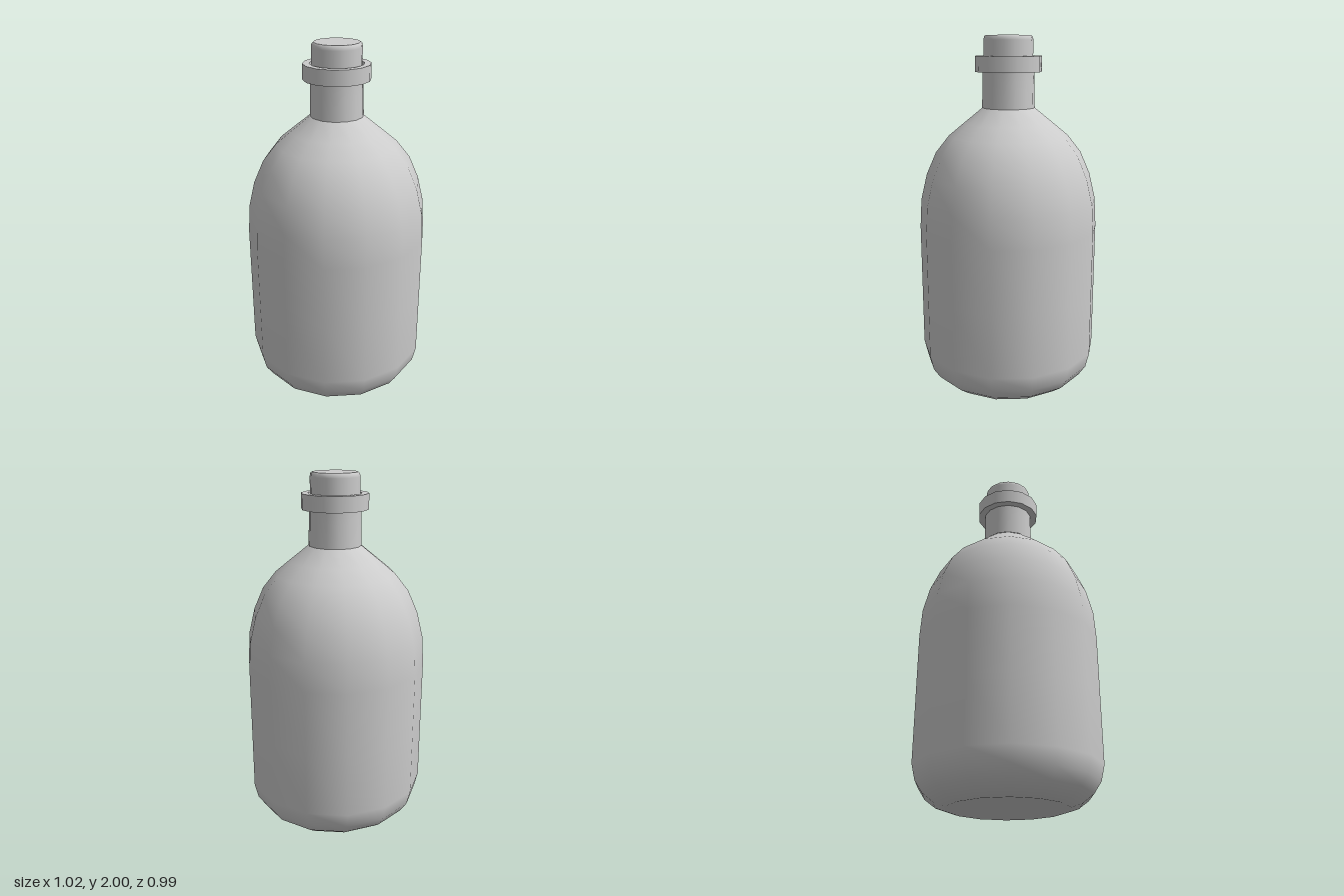
import * as THREE from 'three';
import { mergeGeometries } from 'three/addons/utils/BufferGeometryUtils.js';

const SIDES = 14;

// Smooth surface of revolution with a corner on the x axis
const turn = (profile) => new THREE.LatheGeometry(
  profile.map(([r, y]) => new THREE.Vector2(r, y)), SIDES, Math.PI / 2);

// Same, but with a sharp edge at every profile point
const turnSharp = (profile) => mergeGeometries(
  profile.slice(1).map((p, i) => turn([profile[i], p])));

export function createModel() {
  const group = new THREE.Group();
  group.name = 'bottle';
  const material = new THREE.MeshStandardMaterial({ color: 0xcccccc, side: THREE.DoubleSide });
  const add = (name, geometry) => {
    const mesh = new THREE.Mesh(geometry, material);
    mesh.name = name;
    group.add(mesh);
  };

  // Flat base, rounded heel, straight wall and domed shoulder
  add('body', turn([
    [0, 0.005], [0.29, 0.005], [0.33, 0], [0.39, 0.02], [0.45, 0.065], [0.49, 0.125], [0.51, 0.21],
    [0.51, 0.57], [0.51, 0.93], [0.5, 1.09], [0.465, 1.235], [0.41, 1.36],
    [0.335, 1.455], [0.25, 1.525], [0.145, 1.61],
  ]));

  // Slightly tapered neck
  add('neck', turn([[0.147, 1.61], [0.143, 1.74], [0.143, 1.81]]));

  // Collar with an open mouth that closes in on the stopper
  add('lip', turnSharp([
    [0.143, 1.805], [0.184, 1.805], [0.184, 1.89], [0.147, 1.89], [0.143, 1.8], [0.132, 1.78],
  ]));

  // Stopper with a small bevel around its top
  add('stopper', mergeGeometries([
    turn([[0, 1.65], [0.135, 1.65]]),
    turn([[0.135, 1.65], [0.136, 1.975], [0.133, 1.992], [0.124, 2]]),
    turn([[0.124, 2], [0, 2]]),
  ]));

  return group;
}
